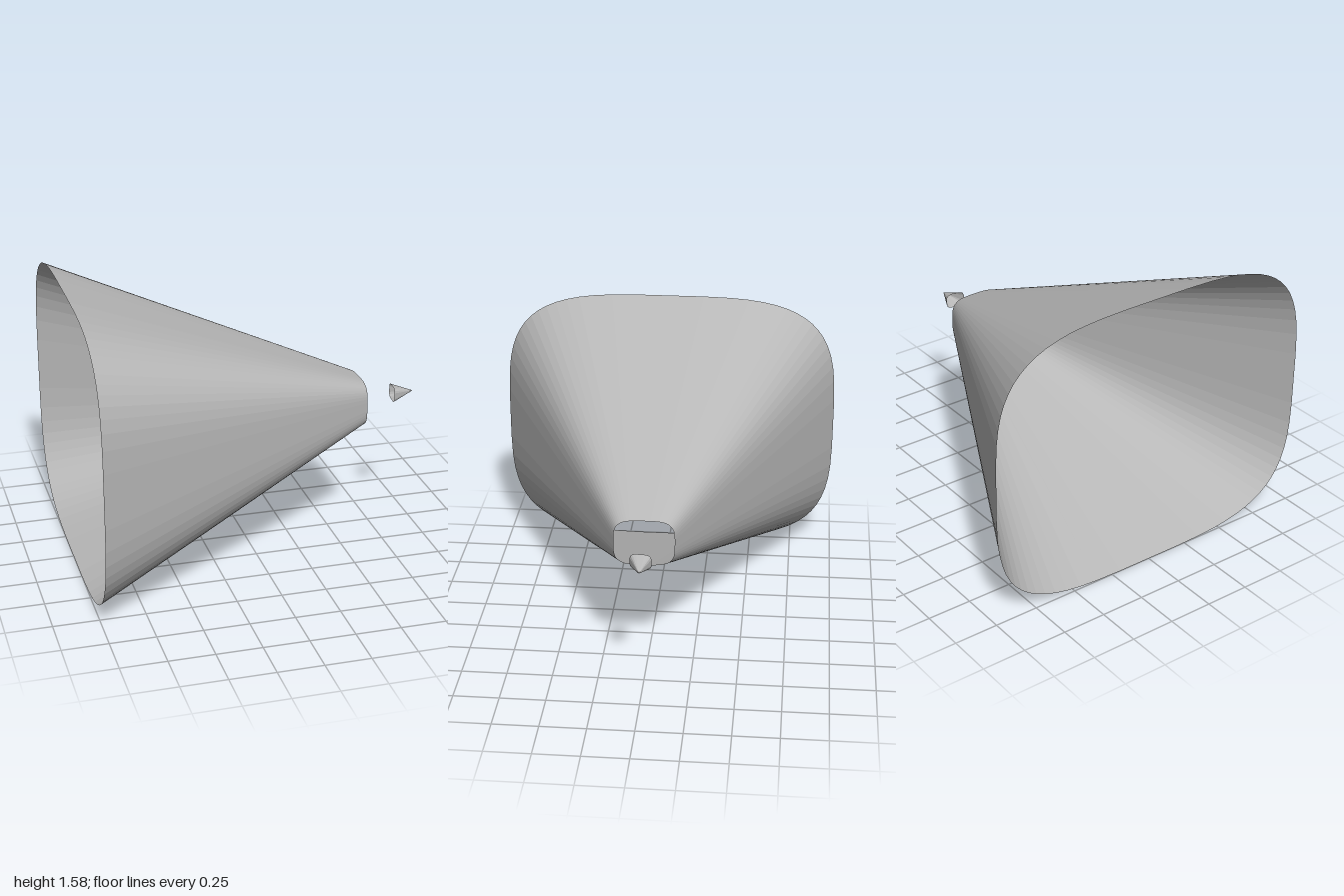
import * as THREE from 'three';

const CENTRE_Y = 0.795;
const EXPONENT = 3.7;

// Rounded-rectangle ring (superellipse) across the x axis; slant leans the ring in z.
function ring(x, halfY, halfZ, sides, z0 = 0, slant = 0) {
  const points = [];
  const power = (v) => Math.sign(v) * Math.pow(Math.abs(v), 2 / EXPONENT);
  for (let i = 0; i < sides; i++) {
    const a = ((i + 0.5) / sides) * Math.PI * 2;
    const z = z0 + halfZ * power(Math.cos(a));
    points.push([x + slant * z, CENTRE_Y + halfY * power(Math.sin(a)), z]);
  }
  return points;
}

// Open skin joining successive rings.
function loft(rings) {
  const sides = rings[0].length;
  const index = [];
  for (let r = 0; r < rings.length - 1; r++) {
    for (let i = 0; i < sides; i++) {
      const j = (i + 1) % sides;
      const a = r * sides + i, b = r * sides + j;
      index.push(a, a + sides, b, b, a + sides, b + sides);
    }
  }
  const geometry = new THREE.BufferGeometry();
  geometry.setAttribute('position', new THREE.Float32BufferAttribute(rings.flat(2), 3));
  geometry.setIndex(index);
  geometry.computeVertexNormals();
  return geometry;
}

export function createModel() {
  const group = new THREE.Group();
  const grey = new THREE.MeshStandardMaterial({
    color: 0xb8b8b8, side: THREE.DoubleSide, flatShading: true,
  });
  grey.name = 'grey';

  // Large funnel, open at both ends
  const funnel = new THREE.Mesh(loft([
    ring(-1, 0.79, 0.99, 64),
    ring(0.667, 0.13, 0.162, 64, 0.005, 0.02),
  ]), grey);
  funnel.name = 'funnel';

  // Small detached point, open at its base
  const tip = new THREE.Mesh(loft([
    ring(0.876, 0.044, 0.058, 16, 0.003, -0.08),
    ring(1, 0.001, 0.001, 16),
  ]), grey);
  tip.name = 'tip';

  group.add(funnel, tip);
  return group;
}
